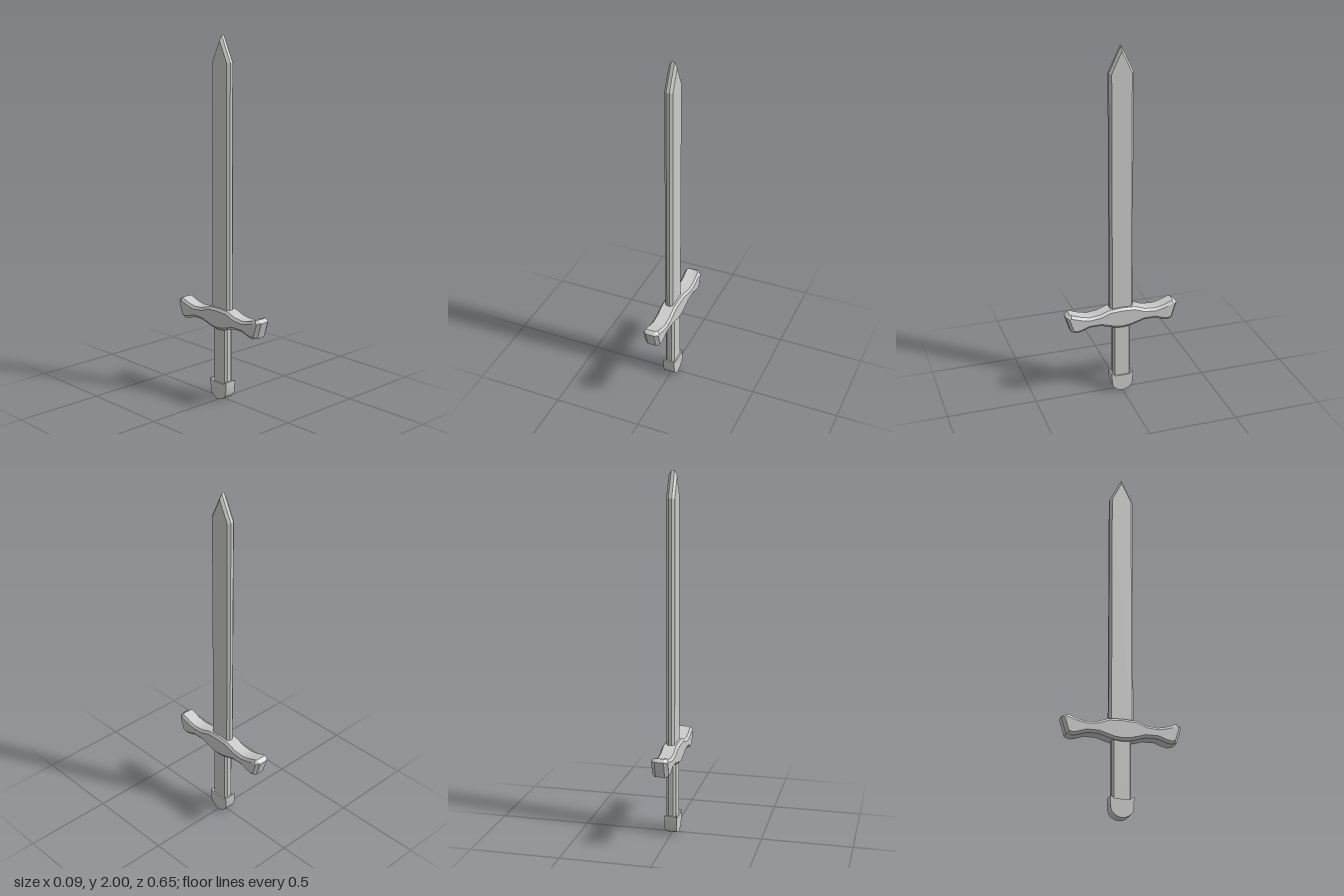
import * as THREE from 'three';
import { toCreasedNormals } from 'three/addons/utils/BufferGeometryUtils.js';

// Completes a right-hand (+z) profile, listed bottom to top, into a counter-clockwise [z, y] outline
const mirror = (half) => [
  ...half,
  ...half.filter(([z]) => z > 0).reverse().map(([z, y]) => [-z, y]),
];

// Moves every edge of a counter-clockwise outline inwards by d
function inset(points, d) {
  const n = points.length;
  const normal = (a, b) => {
    const l = Math.hypot(b[0] - a[0], b[1] - a[1]);
    return [-(b[1] - a[1]) / l, (b[0] - a[0]) / l];
  };
  return points.map((p, i) => {
    const a = normal(points[(i + n - 1) % n], p);
    const b = normal(p, points[(i + 1) % n]);
    const k = d / (1 + a[0] * b[0] + a[1] * b[1]);
    return [p[0] + (a[0] + b[0]) * k, p[1] + (a[1] + b[1]) * k];
  });
}

// Solid symmetric about x = 0, from outlines at growing x: [{ x, points }, ...]
function layeredSolid(layers, crease) {
  const rings = [...layers].reverse().map(({ x, points }) => ({ x: -x, points })).concat(layers);
  const n = layers[0].points.length;
  const position = [];
  const index = [];
  rings.forEach(({ x, points }) => points.forEach(([z, y]) => position.push(x, y, z)));
  for (let r = 0; r < rings.length - 1; r++) {
    for (let i = 0; i < n; i++) {
      const a = r * n + i;
      const b = r * n + (i + 1) % n;
      index.push(a, a + n, b, b, a + n, b + n);
    }
  }
  // Flat caps on both sides
  const last = (rings.length - 1) * n;
  const outline = rings[0].points.map(([z, y]) => new THREE.Vector2(z, y));
  THREE.ShapeUtils.triangulateShape(outline, []).forEach(([a, b, c]) => {
    index.push(a, b, c, last + a, last + c, last + b);
  });
  const geometry = new THREE.BufferGeometry();
  geometry.setAttribute('position', new THREE.Float32BufferAttribute(position, 3));
  geometry.setIndex(index);
  return toCreasedNormals(geometry, crease);
}

export function createModel() {
  const group = new THREE.Group();
  const material = new THREE.MeshStandardMaterial({ color: 0xcccccc });
  const add = (name, layers, crease = 0.35) => {
    const mesh = new THREE.Mesh(layeredSolid(layers, crease), material);
    mesh.name = name;
    group.add(mesh);
  };

  // Blade: bevelled edges and a pointed tip
  const blade = mirror([[0.067, 0.47], [0.067, 1.86], [0, 2]]);
  add('blade', [
    { x: 0.009, points: blade },
    { x: 0.023, points: inset(blade, 0.012) },
  ], 0.1);

  // Crossguard: waved bar with flared, chamfered ends
  const guard = mirror([
    [0, 0.405], [0.045, 0.41], [0.09, 0.423], [0.125, 0.434], [0.19, 0.434],
    [0.235, 0.418], [0.265, 0.412], [0.295, 0.42], [0.323, 0.51], [0.3, 0.525],
    [0.235, 0.504], [0.19, 0.495], [0.13, 0.501], [0.075, 0.522], [0, 0.526],
  ]);
  add('crossguard', [
    { x: 0.025, points: guard },
    { x: 0.034, points: guard.map(([z, y]) => [Math.abs(z) > 0.28 ? z * 0.97 : z, y]) },
    { x: 0.045, points: inset(guard, 0.014) },
  ], 0.5);

  // Grip: eight-sided bar
  const grip = (w) => mirror([[w, 0.07], [w, 0.44]]);
  add('grip', [
    { x: 0.014, points: grip(0.052) },
    { x: 0.026, points: grip(0.042) },
  ], 0.1);

  // Pommel: rounded below, with raised corners on top
  add('pommel', [{
    x: 0.034,
    points: mirror([
      [0, 0], [0.018, 0.003], [0.038, 0.013], [0.052, 0.027], [0.06, 0.045],
      [0.063, 0.11], [0.054, 0.11], [0.042, 0.097], [0, 0.097],
    ]),
  }], 0.5);

  return group;
}
